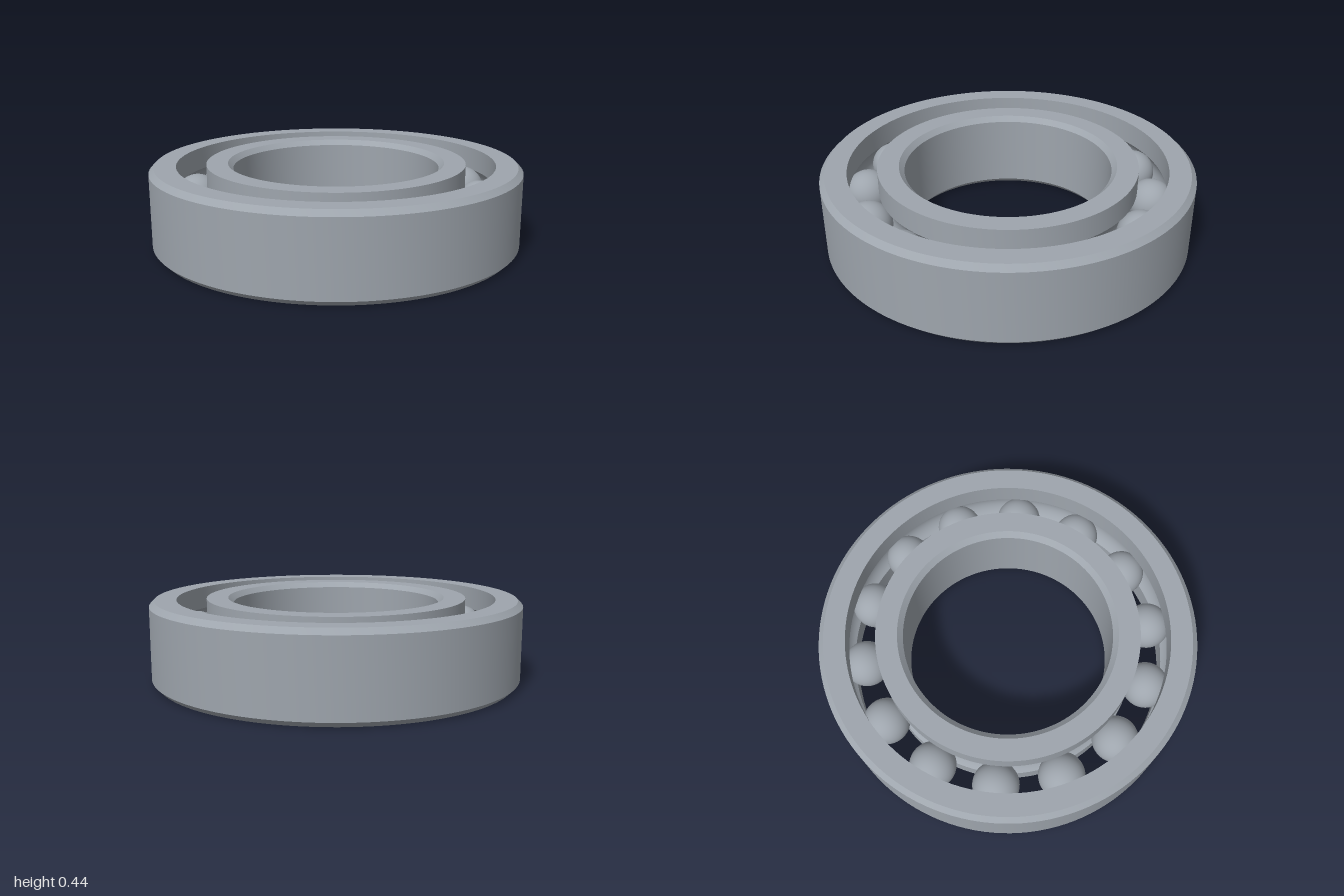
import * as THREE from 'three';
import { toCreasedNormals } from 'three/addons/utils/BufferGeometryUtils.js';

const H = 0.444;        // bearing width
const C = 0.028;        // chamfer
const PITCH = 0.778;    // ball circle radius
const BALL = 0.124;     // ball radius
const GAP = 0.079;      // ball circle to ring shoulder
const BALLS = 14;

// Rounded race groove, running from one shoulder edge to the other.
// side = 1 for the outer ring (runs downwards), -1 for the inner ring (runs upwards).
function groove(side) {
  const r = BALL + 0.001;
  const half = Math.acos(GAP / r);
  const points = [];
  for (let i = 0; i <= 16; i++) {
    const a = half * (1 - i / 8);
    points.push([PITCH + side * r * Math.cos(a), H / 2 + side * r * Math.sin(a)]);
  }
  return points;
}

// Closed counter-clockwise profile turned about the y axis
function ring(name, profile, material) {
  const points = [...profile, profile[0]].map(([r, y]) => new THREE.Vector2(r, y));
  const geometry = toCreasedNormals(new THREE.LatheGeometry(points, 128), 0.5);
  const mesh = new THREE.Mesh(geometry, material);
  mesh.name = name;
  return mesh;
}

export function createModel() {
  const steel = new THREE.MeshStandardMaterial({ color: 0x9ea5ad });
  steel.name = 'steel';

  const model = new THREE.Group();
  model.name = 'ballBearing';

  // Outer ring: chamfered outside, grooved inside
  const shoulderOut = PITCH + GAP;
  model.add(ring('outerRing', [
    [shoulderOut, 0], [1 - C, 0], [1, C], [1, H - C], [1 - C, H], [shoulderOut, H],
    ...groove(1),
  ], steel));

  // Inner ring: grooved outside, chamfered bore
  const shoulderIn = PITCH - GAP;
  const bore = 0.556;
  model.add(ring('innerRing', [
    [bore, H - C], [bore, C], [bore + C, 0], [shoulderIn, 0],
    ...groove(-1),
    [shoulderIn, H], [bore + C, H],
  ], steel));

  // Balls, evenly spaced between the rings
  const balls = new THREE.Group();
  balls.name = 'balls';
  const ballGeometry = new THREE.SphereGeometry(BALL, 40, 24);
  for (let i = 0; i < BALLS; i++) {
    const a = (i / BALLS) * Math.PI * 2 - 0.014;
    const ball = new THREE.Mesh(ballGeometry, steel);
    ball.name = 'ball';
    ball.position.set(PITCH * Math.sin(a), H / 2, -PITCH * Math.cos(a));
    balls.add(ball);
  }
  model.add(balls);

  return model;
}
